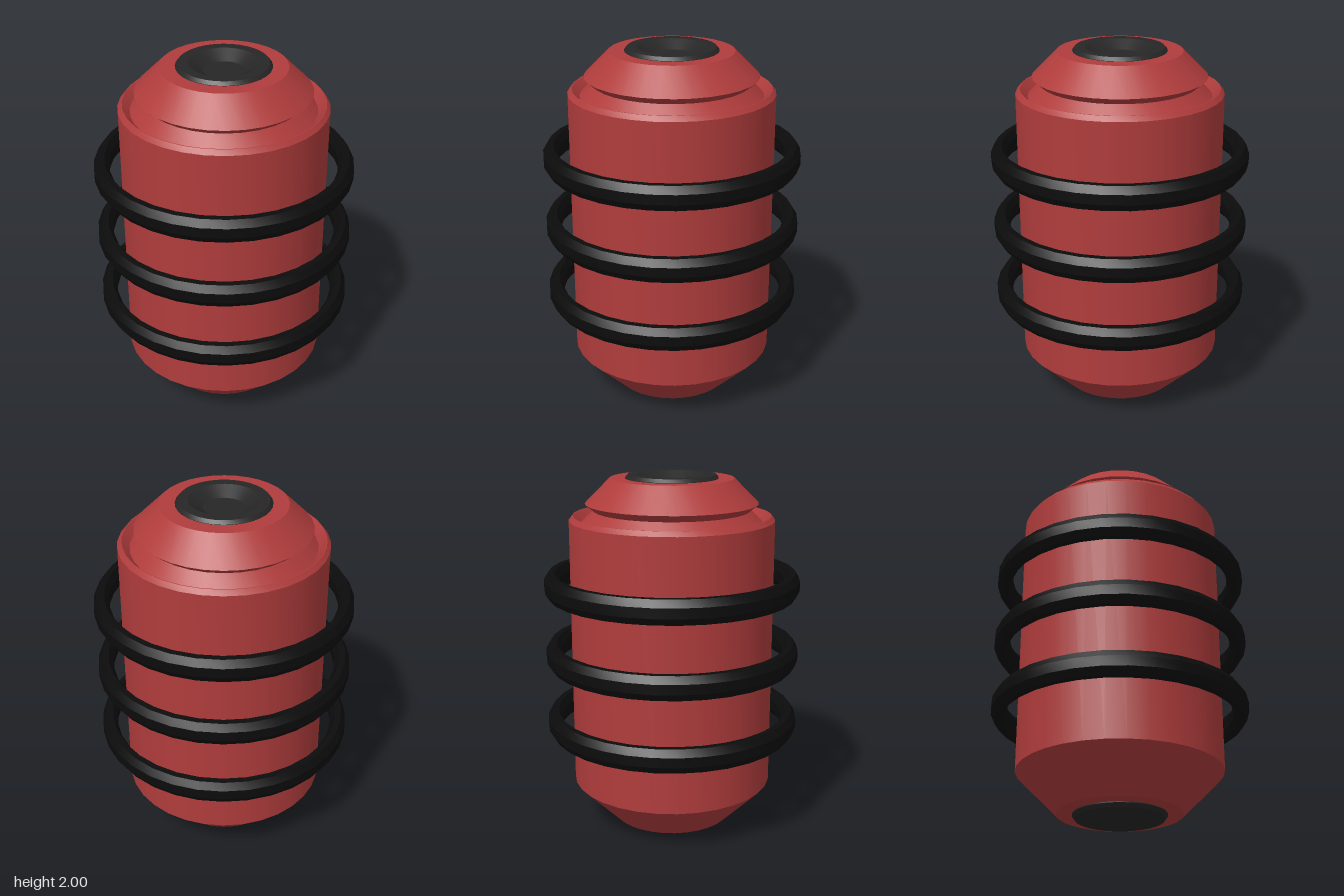
import * as THREE from 'three';
import { toCreasedNormals } from 'three/addons/utils/BufferGeometryUtils.js';

const SIDES = 32;
const red = new THREE.MeshStandardMaterial({ color: 0xb03c3c });
const charcoal = new THREE.MeshStandardMaterial({ color: 0x262626 });
const black = new THREE.MeshStandardMaterial({ color: 0x0c0c0c });

// Turned part from [radius, height] pairs, listed so the outside runs upward
function turned(name, profile, material) {
  const points = profile.map(([r, y]) => new THREE.Vector2(r, y));
  const geometry = toCreasedNormals(new THREE.LatheGeometry(points, SIDES), 0.4);
  const mesh = new THREE.Mesh(geometry, material);
  mesh.name = name;
  return mesh;
}

export function createModel() {
  const model = new THREE.Group();
  model.name = 'canister';

  // Body: tapered foot, straight wall, chamfered rim, groove and conical lid
  model.add(turned('body', [
    [0, 0.025], [0.34, 0.025], [0.565, 0.25], [0.565, 1.755], [0.545, 1.78],
    [0.54, 1.78], [0.5, 1.738], [0.43, 1.807], [0.475, 1.845],
    [0.34, 1.98], [0, 1.98 - 0.06],
  ].flatMap((p, i, all) => (i === all.length - 1 ? [[0.2, 1.98], [0.2, 1.92], p] : [p])), red));

  // Top cap with a dished centre
  model.add(turned('topCap', [
    [0.255, 1.97], [0.255, 1.982], [0.24, 2], [0.187, 2], [0.11, 1.955], [0, 1.955],
  ], charcoal));

  // Flat plug underneath
  model.add(turned('bottomPlug', [
    [0, 0], [0.24, 0], [0.255, 0.02], [0.255, 0.035],
  ], charcoal));

  // Three loose hoops with an eight-sided section
  const section = [];
  for (let i = 0; i <= 8; i++) {
    const a = (i - 0.5) * Math.PI / 4;
    const k = 1 / Math.cos(Math.PI / 8);
    section.push([0.668 + 0.042 * k * Math.cos(a), 0.067 * k * Math.sin(a)]);
  }
  ['lowerHoop', 'middleHoop', 'upperHoop'].forEach((name, i) => {
    const hoop = turned(name, section, black);
    hoop.position.y = 0.605 + 0.397 * i;
    model.add(hoop);
  });

  return model;
}
